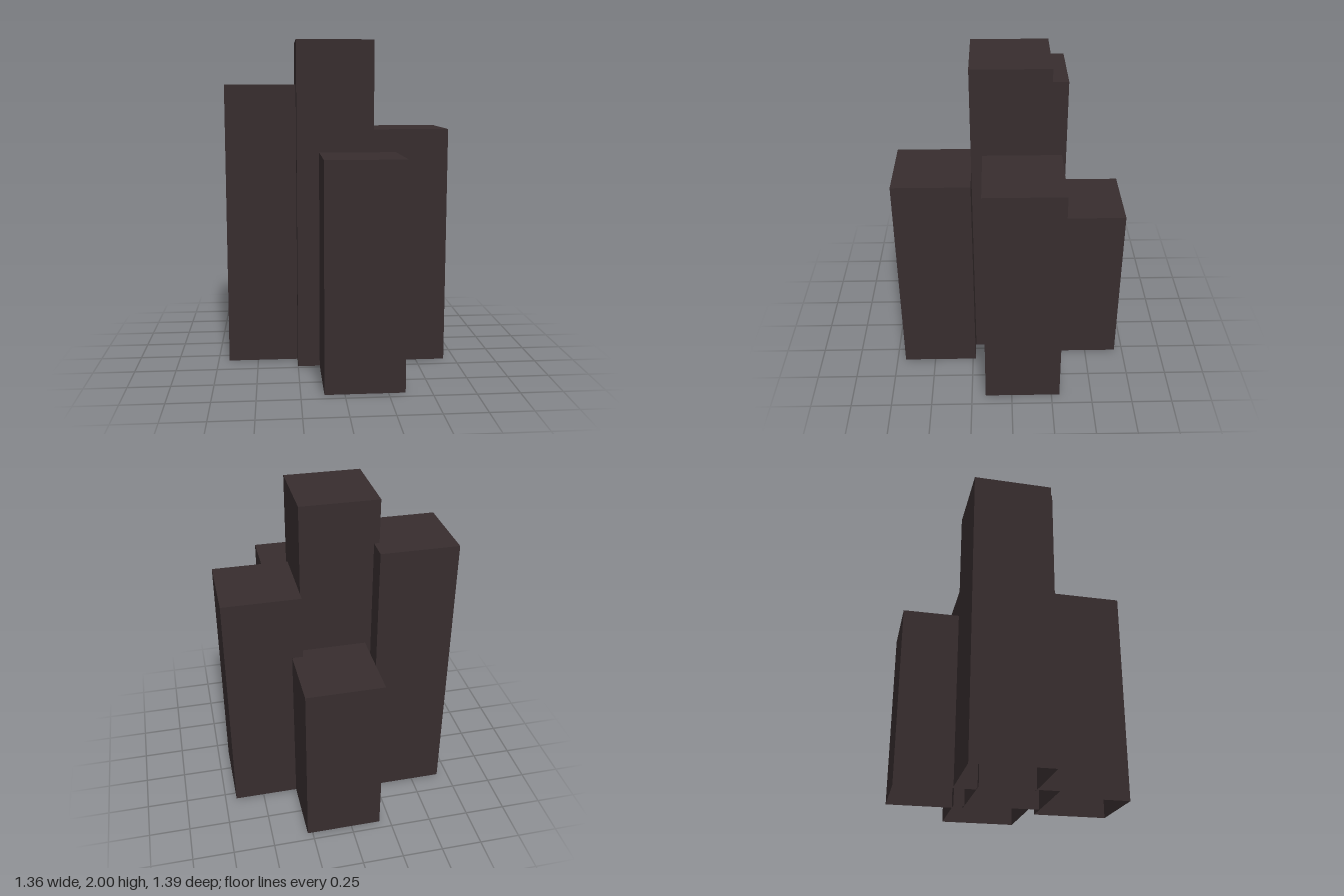
import * as THREE from 'three';

const WIDTH = 0.464;

// Square hollow column standing on y = 0, closed on top and open underneath
function openColumn(height) {
  const geometry = new THREE.BoxGeometry(WIDTH, height, WIDTH);
  const index = Array.from(geometry.index.array);
  index.splice(18, 6); // drop the bottom face
  geometry.setIndex(index);
  geometry.clearGroups();
  geometry.translate(0, height / 2, 0);
  return geometry;
}

export function createModel() {
  const model = new THREE.Group();
  model.name = 'columnCluster';

  const darkStone = new THREE.MeshStandardMaterial({ color: 0x372d2e, side: THREE.DoubleSide });
  darkStone.name = 'darkStone';

  // Name, centre x, centre z, height
  const columns = [
    ['centreColumn', -0.018, -0.002, 2.0],
    ['rightColumn', -0.45, -0.136, 1.735],
    ['leftColumn', 0.448, -0.068, 1.467],
    ['frontColumn', 0.116, 0.464, 1.333],
    ['backColumn', 0.049, -0.466, 1.067],
  ];

  for (const [name, x, z, height] of columns) {
    const column = new THREE.Mesh(openColumn(height), darkStone);
    column.name = name;
    column.position.set(x, 0, z);
    model.add(column);
  }
  return model;
}
